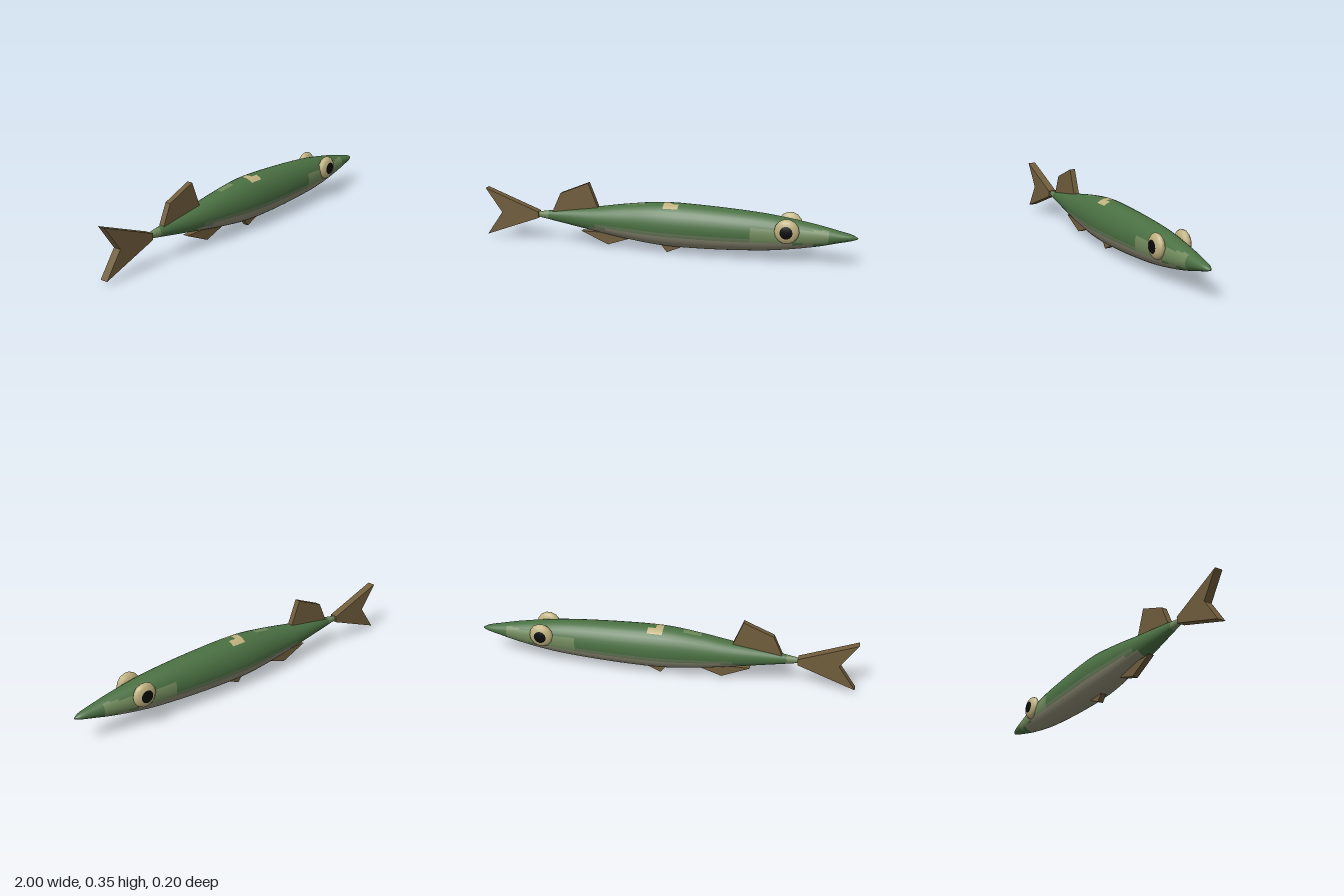
import * as THREE from 'three';

const mat = (name, color) => Object.assign(new THREE.MeshStandardMaterial({ color }), { name });

export function createModel() {
  const fish = new THREE.Group();
  fish.name = 'fish';
  const green = mat('back green', 0x4a7042);
  const belly = mat('belly grey', 0x8d8a74);
  const side = mat('side grey green', 0x687a5a);
  const pale = mat('cheek pale green', 0x70895c);
  const cream = mat('eye cream', 0xbfb17f);
  const black = mat('pupil black', 0x0a0a0a);
  const brown = mat('fin brown', 0x705d3c);

  const add = (name, geometry, material, parent = fish) => {
    const mesh = new THREE.Mesh(geometry, material);
    mesh.name = name;
    parent.add(mesh);
    return mesh;
  };

  // Body sections: x, top, bottom, half width
  const sections = [
    [-0.70, 0.167, 0.137, 0.012], [-0.60, 0.183, 0.12, 0.027], [-0.37, 0.217, 0.082, 0.06],
    [-0.20, 0.245, 0.055, 0.078], [0, 0.267, 0.035, 0.095], [0.25, 0.263, 0.036, 0.093],
    [0.50, 0.248, 0.05, 0.082], [0.65, 0.23, 0.068, 0.071], [0.80, 0.205, 0.095, 0.051],
    [0.90, 0.183, 0.12, 0.035], [0.965, 0.168, 0.136, 0.021], [0.997, 0.153, 0.147, 0.004],
  ];
  const curve = (pick) => new THREE.CatmullRomCurve3(sections.map(pick), false, 'catmullrom');
  const heights = curve(([x, top, bottom]) => new THREE.Vector3(x, top, bottom));
  const widths = curve(([x, , , w]) => new THREE.Vector3(x, w, 0));

  const rings = (sections.length - 1) * 6;
  const around = 32;
  const pos = [];
  for (let i = 0; i <= rings; i++) {
    const h = heights.getPoint(i / rings);
    const w = Math.max(widths.getPoint(i / rings).y, 0.003);
    for (let j = 0; j < around; j++) {
      const a = (j / around) * Math.PI * 2;
      pos.push(h.x, (h.y + h.z) / 2 + ((h.y - h.z) / 2) * Math.sin(a), w * Math.cos(a));
    }
  }

  // Colour of the skin at a point: 0 green, 1 belly, 2 side band, 3 pale, 4 cream
  const skin = (x, y, z) => {
    const upper = y > 0.2;
    const az = Math.abs(z);
    if (x < -0.65) return 3;
    if (upper && x > 0 && x < 0.085 && az < 0.05 && (x < 0.042 || az > 0.025)) return 4;
    if (upper && x > -0.19 && x < -0.12 && az < 0.016) return 3;
    if (x > 0.48 && x < 0.85 && y > 0.118 && y < 0.188) return 3;
    if (x > -0.42 && x < 0.78 && y < 0.113) return 1;
    if (x > -0.36 && x < 0.5 && y < 0.13) return 2;
    return 0;
  };

  // Sort the quads by colour into geometry groups
  const faces = [[], [], [], [], []];
  for (let i = 0; i < rings; i++) {
    for (let j = 0; j < around; j++) {
      const k = (j + 1) % around;
      const quad = [i * around + j, (i + 1) * around + j, (i + 1) * around + k, i * around + k];
      const mean = (c) => quad.reduce((s, v) => s + pos[v * 3 + c], 0) / 4;
      const [a, b, c, d] = quad;
      faces[skin(mean(0), mean(1), mean(2))].push(a, b, c, a, c, d);
    }
  }
  // Snout tip cap
  const last = rings * around;
  for (let j = 1; j < around - 1; j++) faces[0].push(last, last + j + 1, last + j);

  const body = new THREE.BufferGeometry();
  body.setAttribute('position', new THREE.Float32BufferAttribute(pos, 3));
  body.setIndex(faces.flat());
  let start = 0;
  faces.forEach((list, m) => {
    body.addGroup(start, list.length, m);
    start += list.length;
  });
  body.computeVertexNormals();
  const skins = [green, belly, side, pale, cream];
  skins.forEach((m) => { m.side = THREE.DoubleSide; });
  add('body', body, skins);

  // Flat fins on the centre line
  const fin = (name, points, depth) => {
    const shape = new THREE.Shape(points.map(([x, y]) => new THREE.Vector2(x, y)));
    const geometry = new THREE.ExtrudeGeometry(shape, { depth, bevelEnabled: false });
    add(name, geometry.translate(0, 0, -depth / 2), brown);
  };
  fin('tailFin', [[-1, 0.282], [-0.91, 0.152], [-1, 0.022], [-0.7, 0.135], [-0.7, 0.168]], 0.042);
  fin('dorsalFin', [[-0.62, 0.175], [-0.36, 0.205], [-0.415, 0.346], [-0.572, 0.28]], 0.03);
  fin('analFin', [[-0.457, 0.08], [-0.31, 0.016], [-0.2, 0.054], [-0.3, 0.082]], 0.03);
  fin('pelvicFin', [[-0.02, 0.043], [0.015, 0], [0.1, 0.038], [0.04, 0.055]], 0.03);

  // Flattened eyes whose outer cap is the pupil
  for (const s of [1, -1]) {
    const eye = new THREE.Group();
    eye.name = s > 0 ? 'frontEye' : 'backEye';
    const cap = 0.54;
    const part = (from, length, rows) => new THREE.SphereGeometry(1, 14, rows, 0, Math.PI * 2, from, length)
      .rotateX(Math.PI / 2).scale(0.064, 0.065, 0.03);
    add('eyeball', part(cap, Math.PI - cap, 7), cream, eye);
    add('pupil', part(0, cap, 2), black, eye);
    eye.position.set(0.648, 0.18, 0.07 * s);
    if (s < 0) eye.rotation.y = Math.PI;
    fish.add(eye);
  }
  return fish;
}
